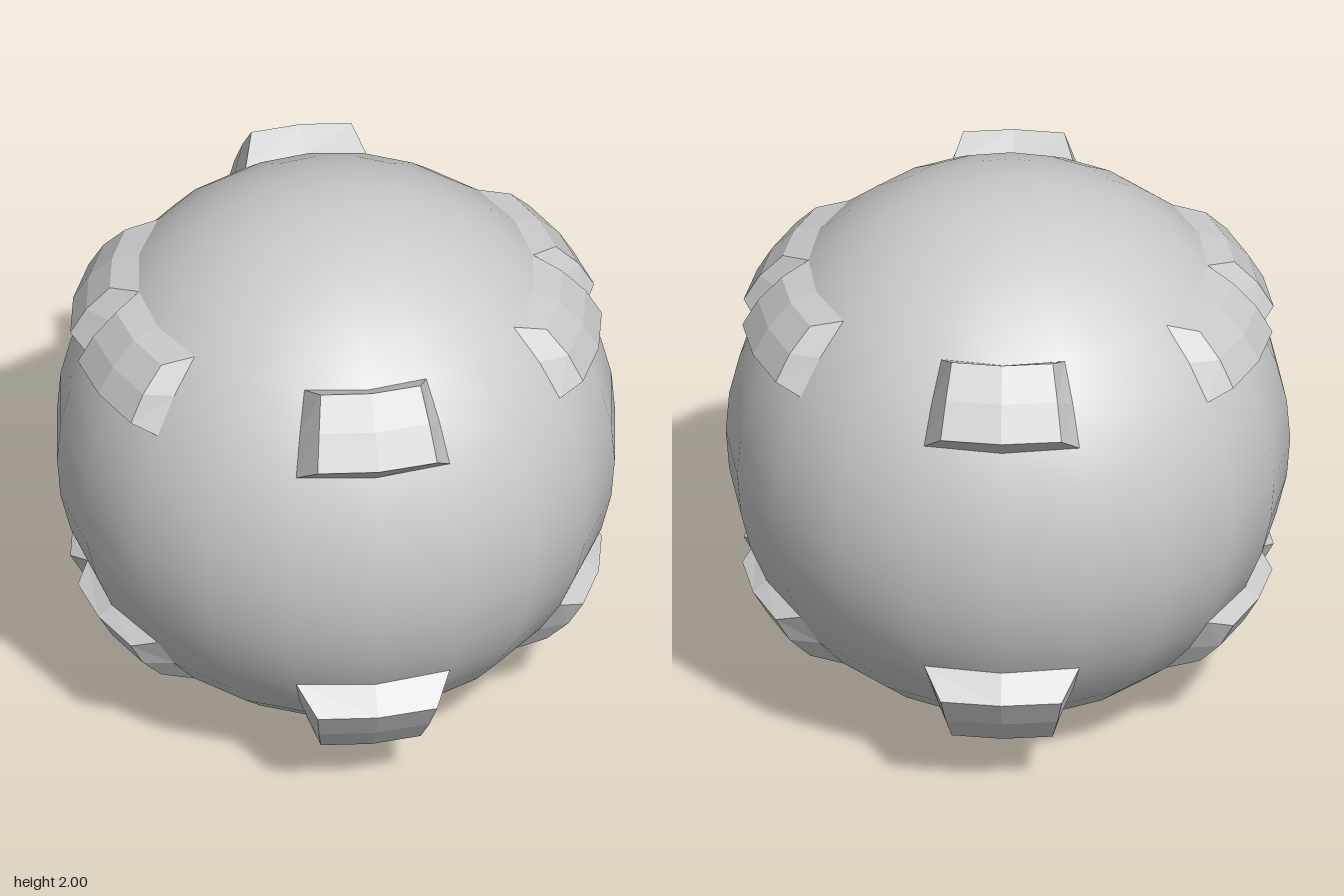
import * as THREE from 'three';

const rad = THREE.MathUtils.degToRad;
const material = new THREE.MeshStandardMaterial({ color: 0xcccccc });
const flatMaterial = new THREE.MeshStandardMaterial({ color: 0xcccccc, flatShading: true });

const BASE_LATITUDES = [27, 36, 45];
// Outer faces as [distance from the vertical axis, height above the centre]
const TALL = [[0.975, 0.54], [0.9, 0.66], [0.815, 0.77]];
const LOW = [[0.943, 0.49], [0.887, 0.59], [0.803, 0.68]];

// Raised block: a patch of the sphere pushed outward with tapered walls
function blockGeometry(centre, rings, up) {
  const point = (i, j) => {
    const border = i === 0 || i === 4 || j === 0 || j === 4;
    const row = THREE.MathUtils.clamp(i - 1, 0, 2);
    const col = THREE.MathUtils.clamp(j - 1, 0, 2) - 1;
    const lat = rad(BASE_LATITUDES[row]);
    const [r, y] = border ? [Math.cos(lat), Math.sin(lat)] : rings[row];
    const a = rad(centre + col * (border ? 18 : 12.7));
    return [r * Math.sin(a), 1 + up * y, r * Math.cos(a)];
  };
  const positions = [], index = [];
  for (let i = 0; i < 5; i++) for (let j = 0; j < 5; j++) positions.push(...point(i, j));
  for (let i = 0; i < 4; i++) {
    for (let j = 0; j < 4; j++) {
      if (i % 3 === 0 && j % 3 === 0) continue; // corner cells have no area
      const a = i * 5 + j, b = a + 1, c = a + 6, d = a + 5;
      if (up > 0) index.push(a, b, c, a, c, d);
      else index.push(a, c, b, a, d, c);
    }
  }
  const geometry = new THREE.BufferGeometry();
  geometry.setAttribute('position', new THREE.Float32BufferAttribute(positions, 3));
  geometry.setIndex(index);
  geometry.computeVertexNormals();
  return geometry;
}

export function createModel() {
  const group = new THREE.Group();
  group.name = 'studdedBall';

  // Smooth ball
  const ball = new THREE.Mesh(new THREE.SphereGeometry(1, 20, 20), material);
  ball.name = 'ball';
  ball.position.y = 1;
  group.add(ball);

  // Tall blocks front and back, low pairs on both sides, above and below the middle
  const blocks = [
    ['frontBlock', 0, TALL], ['backBlock', 180, TALL],
    ['leftFrontBlock', 72, LOW], ['leftBackBlock', 108, LOW],
    ['rightBackBlock', 252, LOW], ['rightFrontBlock', 288, LOW],
  ];
  for (const up of [1, -1]) {
    for (const [name, centre, rings] of blocks) {
      const mesh = new THREE.Mesh(blockGeometry(centre, rings, up), flatMaterial);
      mesh.name = (up > 0 ? 'upper_' : 'lower_') + name;
      group.add(mesh);
    }
  }
  return group;
}
